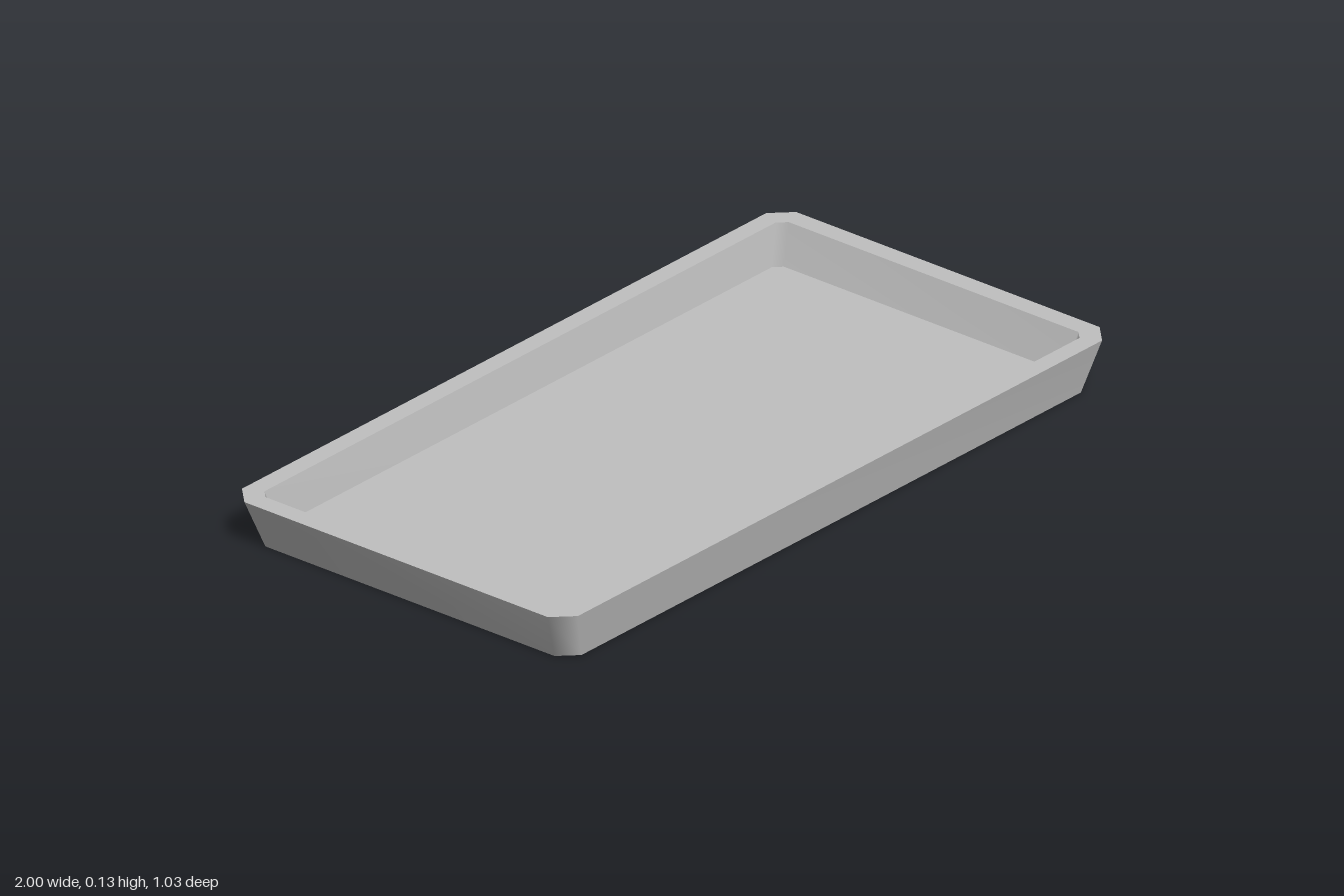
import * as THREE from 'three';

// Chamfered rectangle, half sizes w x d with corner cut c, at height y
function ring(w, d, c, y) {
  return [
    [w, d - c], [w - c, d], [c - w, d], [-w, d - c],
    [-w, c - d], [c - w, -d], [w - c, -d], [w, c - d],
  ].map(([x, z]) => new THREE.Vector3(x, y, z));
}

// Band of quads joining two rings, smooth around the loop
function band(a, b) {
  const n = a.length;
  const index = [];
  for (let i = 0; i < n; i++) {
    const j = (i + 1) % n;
    index.push(i, n + i, j, j, n + i, n + j);
  }
  return build([...a, ...b], index);
}

// Flat cap filling one ring
function cap(r, up) {
  const index = [];
  for (let i = 1; i < r.length - 1; i++) {
    if (up) index.push(0, i + 1, i);
    else index.push(0, i, i + 1);
  }
  return build(r, index);
}

function build(points, index) {
  const g = new THREE.BufferGeometry().setFromPoints(points);
  g.setIndex(index);
  g.computeVertexNormals();
  return g;
}

export function createModel() {
  const group = new THREE.Group();
  group.name = 'tray';
  const grey = new THREE.MeshStandardMaterial({ color: 0xc0c0c0 });
  grey.name = 'grey';

  const base = ring(0.95, 0.49, 0.045, 0);
  const outerTop = ring(1, 0.517, 0.05, 0.128);
  const innerTop = ring(0.948, 0.468, 0.022, 0.128);
  const innerFloor = ring(0.912, 0.45, 0.02, 0.03);

  const parts = {
    underside: cap(base, false),
    outerWall: band(outerTop, base),
    rim: band(innerTop, outerTop),
    innerWall: band(innerFloor, innerTop),
    floor: cap(innerFloor, true),
  };
  // Every band runs from its upper or inner ring to its lower or outer ring
  for (const [name, geometry] of Object.entries(parts)) {
    // Ring order makes each band face the wrong way round, so flip it
    if (!geometry.index) continue;
    const mesh = new THREE.Mesh(orient(geometry, name), grey);
    mesh.name = name;
    group.add(mesh);
  }
  return group;
}

// Flip the faces of a part whose first face points away from its open side
function orient(geometry, name) {
  const p = geometry.attributes.position;
  const ix = geometry.index.array;
  const [a, b, c] = [0, 1, 2].map((k) => new THREE.Vector3().fromBufferAttribute(p, ix[k]));
  const normal = b.clone().sub(a).cross(c.clone().sub(a));
  const outward = {
    underside: new THREE.Vector3(0, -1, 0),
    outerWall: new THREE.Vector3(a.x, 0, a.z),
    rim: new THREE.Vector3(0, 1, 0),
    innerWall: new THREE.Vector3(-a.x, 0, -a.z),
    floor: new THREE.Vector3(0, 1, 0),
  }[name];
  if (normal.dot(outward) < 0) {
    for (let i = 0; i < ix.length; i += 3) [ix[i], ix[i + 1]] = [ix[i + 1], ix[i]];
    geometry.computeVertexNormals();
  }
  return geometry;
}
